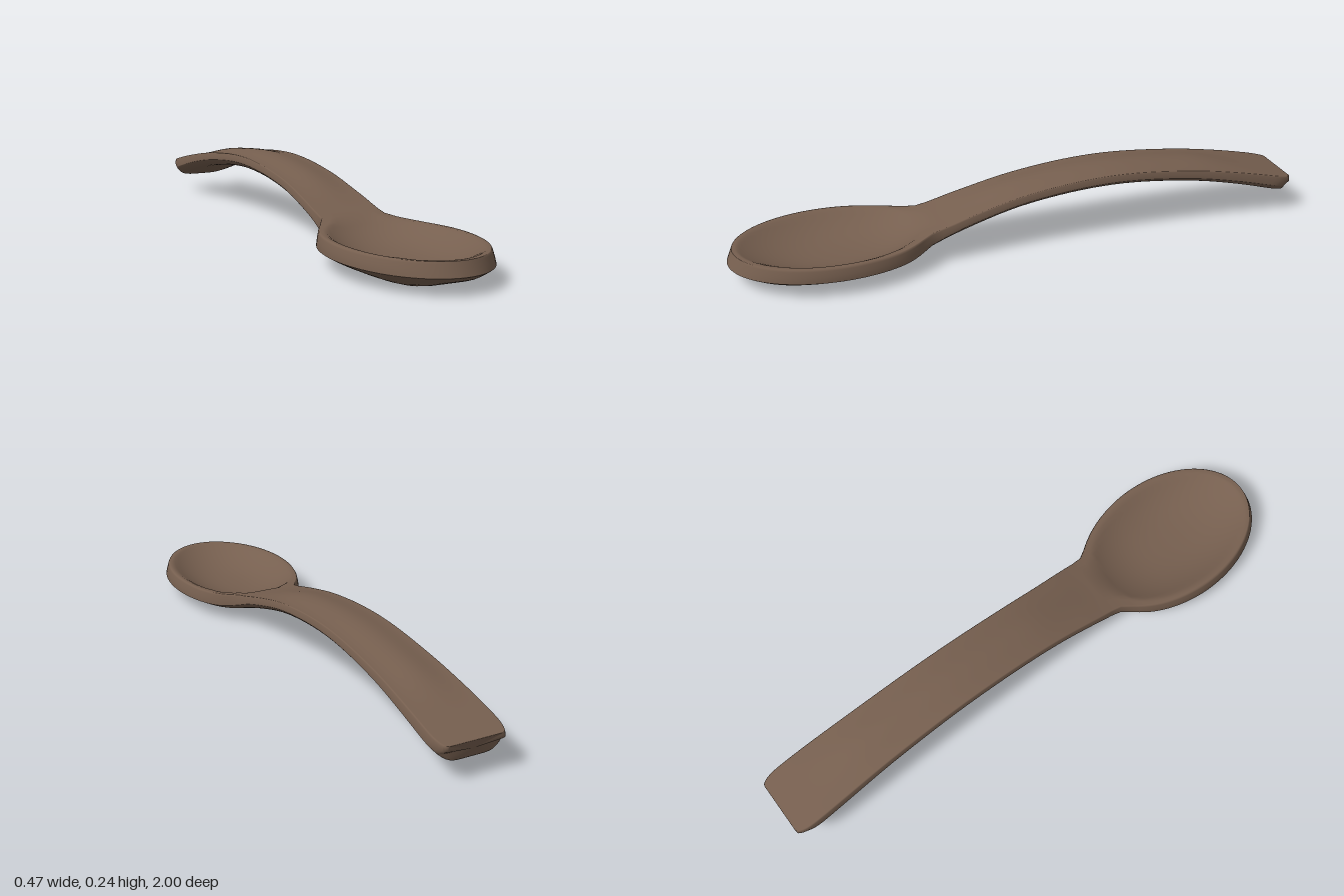
import * as THREE from 'three';
import { mergeVertices } from 'three/addons/utils/BufferGeometryUtils.js';

const { smoothstep, lerp } = THREE.MathUtils;
const BOWL_Z = 0.655, BOWL_W = 0.235, BOWL_L = 0.345;

// smooth value along z from a few [z, value] keys
function track(keys) {
  const curve = new THREE.CubicInterpolant(keys.map(k => k[0]), keys.map(k => k[1]), 1);
  return z => curve.evaluate(z)[0];
}

// side profile: upper edge and underside centre line
const topAt = track([[-1, 0.123], [-0.8, 0.168], [-0.6, 0.202], [-0.3, 0.224], [0, 0.197],
  [0.2, 0.151], [0.3, 0.123], [0.38, 0.106], [0.45, 0.1], [0.6, 0.1], [0.8, 0.1], [1, 0.1]]);
const bottomAt = track([[-1, 0.06], [-0.8, 0.115], [-0.6, 0.153], [-0.3, 0.177], [0, 0.15],
  [0.2, 0.1], [0.3, 0.068], [0.4, 0.035], [0.55, 0.003], [0.7, 0], [0.85, 0.004], [0.95, 0.031], [1, 0.055]]);
const handleWidth = track([[-1, 0.12], [-0.9, 0.12], [-0.6, 0.111], [-0.2, 0.106], [0.1, 0.108], [0.3, 0.117], [0.7, 0.12]]);

// half width: oval bowl blended into the handle, with rounded corners at the end
function widthAt(z) {
  const oval = BOWL_W * Math.sqrt(Math.max(0, 1 - ((z - BOWL_Z) / BOWL_L) ** 2));
  if (z > BOWL_Z) return oval;
  const u = Math.max(0, (-0.93 - z) / 0.07);
  const handle = handleWidth(z) - 0.022 * (1 - Math.sqrt(Math.max(0, 1 - u * u)));
  return (oval ** 8 + handle ** 8) ** (1 / 8);
}

// closed cross-section, counter-clockwise when seen from the front
function section(z) {
  const w = widthAt(z), top = topAt(z), bottom = bottomAt(z);
  const bowl = smoothstep(z, 0.25, 0.5);
  const mid = lerp((top + bottom) / 2, 0.055, bowl);
  const topZ = z - 0.018 * Math.max(0, (z - BOWL_Z) / BOWL_L);
  const bottomZ = z + 0.02 * smoothstep(-z, 0.3, 1);
  const crown = 0.012 * smoothstep(z, -0.88, -0.65) * (1 - smoothstep(z, 0, 0.3));
  const points = [], n = 20;

  // underside
  const start = 0.35 * bowl, power = lerp(6, 1.6, bowl);
  for (let i = 0; i <= n; i++) {
    const f = Math.sin((i / n - 0.5) * Math.PI);
    const rise = Math.max(0, (Math.abs(f) - start) / (1 - start)) ** power;
    points.push([f * w, lerp(bottom, mid, rise), lerp(bottomZ, z, rise * bowl)]);
  }
  // side wall and softened upper edge
  const wall = [[0.985, 0.45], [0.965, 0.85], [0.95, 0.98]];
  for (const [f, h] of wall) points.push([f * w, lerp(mid, top, h), lerp(z, topZ, h)]);
  // upper face, hollowed in the bowl and crowned along the handle
  for (let i = 0; i <= n; i++) {
    const x = 0.93 * w * Math.sin((0.5 - i / n) * Math.PI);
    const r = Math.hypot(x / 0.205, (topZ - BOWL_Z) / 0.31);
    const hollow = 0.065 * Math.max(0, 1 - r ** 2.5);
    const bulge = crown * (1 + Math.cos(Math.PI * Math.min(1, Math.abs(x) / 0.1))) / 2;
    points.push([x, top + bulge - hollow, topZ]);
  }
  for (const [f, h] of wall.slice().reverse()) points.push([-f * w, lerp(mid, top, h), lerp(z, topZ, h)]);
  return points;
}

function spoonGeometry() {
  // stations, closer together at the rounded ends
  const stations = [-1, -0.997, -0.99, -0.98, -0.965, -0.95, -0.93];
  for (let i = 1; i <= 34; i++) stations.push(lerp(-0.93, 0.38, i / 34));
  const from = Math.asin((0.38 - BOWL_Z) / BOWL_L);
  for (let i = 1; i <= 36; i++) stations.push(BOWL_Z + BOWL_L * Math.sin(lerp(from, Math.PI / 2, i / 36)));

  const rings = stations.map(section);
  const m = rings[0].length, index = [];
  const position = rings.flat(2);
  for (let i = 0; i < rings.length - 1; i++) {
    for (let j = 0; j < m; j++) {
      const a = i * m + j, b = i * m + (j + 1) % m;
      index.push(a, b, b + m, a, b + m, a + m);
    }
  }
  // flat handle end
  const centre = position.length / 3;
  position.push(0, (topAt(-1) + bottomAt(-1)) / 2, -0.99);
  const capStart = centre + 1;
  rings[0].forEach(([x, y, z]) => position.push(x * 0.97, lerp(0.0915, y, 0.93), z - 0.0005));
  for (let j = 0; j < m; j++) {
    const k = (j + 1) % m;
    index.push(centre, capStart + k, capStart + j);
    index.push(capStart + j, capStart + k, k, capStart + j, k, j);
  }
  const geometry = new THREE.BufferGeometry();
  geometry.setAttribute('position', new THREE.Float32BufferAttribute(position, 3));
  geometry.setIndex(index);
  const merged = mergeVertices(geometry, 1e-5);
  merged.computeVertexNormals();
  return merged;
}

export function createModel() {
  const wood = new THREE.MeshStandardMaterial({ color: 0x765f4f });
  wood.name = 'brown wood';
  const spoon = new THREE.Mesh(spoonGeometry(), wood);
  spoon.name = 'spoon bowl and handle';
  const group = new THREE.Group();
  group.name = 'spoon';
  group.add(spoon);
  return group;
}
